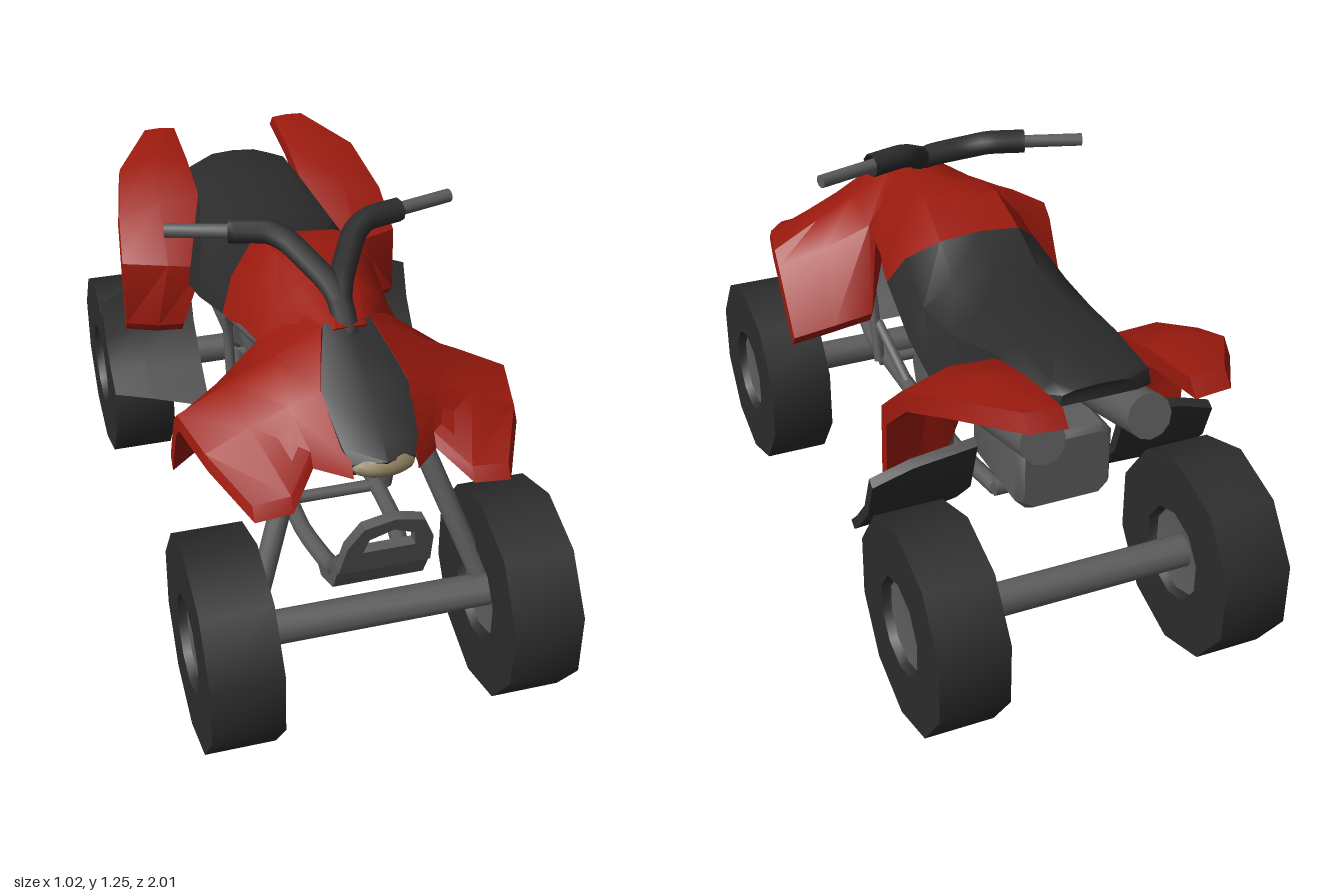
import * as THREE from 'three';
import { toCreasedNormals } from 'three/addons/utils/BufferGeometryUtils.js';

const paint = (color) => new THREE.MeshStandardMaterial({ color, side: THREE.DoubleSide });
const V = (p) => new THREE.Vector3(...p);
const flipX = (p) => [-p[0], p[1], p[2]];

export function createModel() {
  const model = new THREE.Group();
  const red = paint(0x9c1a0e), black = paint(0x2c2c2c), grey = paint(0x5c5c5c), glass = paint(0x8f8260);

  const add = (name, geometry, material, crease = 0.75) => {
    const mesh = new THREE.Mesh(toCreasedNormals(geometry, crease), material);
    mesh.name = name;
    model.add(mesh);
    return mesh;
  };

  // Solid skinned over matching closed rings, with capped ends, faces turned outward
  const loft = (rings) => {
    const n = rings[0].length, tris = [];
    const quad = (a, b, c, d) => tris.push([a, b, c], [a, c, d]);
    for (let r = 0; r + 1 < rings.length; r++)
      for (let i = 0; i < n; i++) {
        const j = (i + 1) % n;
        quad(rings[r][i], rings[r][j], rings[r + 1][j], rings[r + 1][i]);
      }
    for (const [ring, first] of [[rings[0], true], [rings[rings.length - 1], false]])
      for (let i = 0; i < n - 2 - i + 1 && i < n - 1 - i; i++) {
        const caps = [[ring[i], ring[i + 1], ring[n - 1 - i]]];
        if (i + 1 < n - 2 - i) caps.push([ring[i + 1], ring[n - 2 - i], ring[n - 1 - i]]);
        if (i + 1 >= n - 1 - i) continue;
        caps.forEach((t) => tris.push(first ? t.reverse() : t));
      }
    const volume = tris.reduce((s, [a, b, c]) => s + V(a).dot(V(b).cross(V(c))), 0);
    if (volume < 0) tris.forEach((t) => t.reverse());
    const g = new THREE.BufferGeometry();
    g.setAttribute('position', new THREE.Float32BufferAttribute(tris.flat(2), 3));
    return g;
  };

  // Sheet of point rows thickened by an offset
  const slab = (rows, off) => loft(rows.map((row) =>
    [...row, ...row.map((p) => p.map((v, k) => v + off[k])).reverse()]));
  // Symmetric row from its half, listed from the centre outward
  const both = (half) => [...half.slice(1).reverse().map(flipX), ...half];

  const rod = (name, a, b, r, material = grey, sides = 10) => {
    const d = V(b).sub(V(a));
    const g = new THREE.CylinderGeometry(r, r, d.length(), sides);
    g.applyQuaternion(new THREE.Quaternion().setFromUnitVectors(V([0, 1, 0]), d.clone().normalize()));
    const m = V(a).add(V(b)).multiplyScalar(0.5);
    add(name, g.translate(m.x, m.y, m.z), material, 0.9);
  };
  const tube = (name, pts, r, material = grey, tension = 0.15) => {
    const path = new THREE.CatmullRomCurve3(pts.map(V), false, 'catmullrom', tension);
    add(name, new THREE.TubeGeometry(path, pts.length * 5, r, 8), material, 0.9);
  };
  const extrude = (shape, depth) =>
    new THREE.ExtrudeGeometry(shape, { depth, bevelEnabled: false }).translate(0, 0, -depth / 2);
  const outline = (pts) => pts.map(([x, y]) => new THREE.Vector2(x, y));

  // Wheels: ten-sided tyre with a dished hub on either face
  const lathe = (pts) => new THREE.LatheGeometry(outline(pts), 10, Math.PI / 2).rotateZ(Math.PI / 2);
  for (const [end, z] of [['front', 0.72], ['rear', -0.72]]) {
    for (const s of [1, -1]) {
      const x = 0.408 * s, side = s > 0 ? 'Left' : 'Right';
      add(`${end}${side}Tyre`, lathe([[0.125, -0.07], [0.137, -0.098], [0.298, -0.098],
        [0.298, 0.098], [0.137, 0.098], [0.125, 0.07]]).translate(x, 0.3, z), black, 0.8);
      add(`${end}${side}Hub`, lathe([[0, -0.055], [0.13, -0.075], [0.13, 0.075], [0, 0.055]])
        .translate(x, 0.3, z), grey, 0.8);
    }
    rod(`${end}Axle`, [-0.36, 0.3, z], [0.36, 0.3, z], 0.048);
  }

  // Tank and seat share the slanted seam between them
  const seam = [[0, 1.07, -0.07], [0.12, 1.06, -0.07], [0.2, 0.99, 0], [0.24, 0.9, 0.05]];
  add('tank', loft([
    [[0, 1.08, 0.5], [0.04, 1.08, 0.5], [0.07, 1.05, 0.48], [0.09, 0.98, 0.48]],
    [[0, 1.1, 0.32], [0.08, 1.09, 0.31], [0.15, 1.03, 0.3], [0.2, 0.95, 0.3]],
    [[0, 1.13, 0.17], [0.1, 1.12, 0.16], [0.17, 1.04, 0.16], [0.215, 0.93, 0.17]],
    [[0, 1.13, 0.06], [0.11, 1.12, 0.06], [0.19, 1.03, 0.09], [0.23, 0.91, 0.11]],
    seam].map(both)), red);
  add('seat', loft([seam,
    [[0, 0.995, -0.19], [0.13, 0.985, -0.19], [0.22, 0.93, -0.19], [0.26, 0.83, -0.18]],
    [[0, 0.97, -0.36], [0.13, 0.97, -0.36], [0.21, 0.93, -0.36], [0.255, 0.77, -0.37]],
    [[0, 1.0, -0.58], [0.12, 1.0, -0.58], [0.17, 0.975, -0.58], [0.2, 0.85, -0.58]],
    [[0, 0.995, -0.78], [0.11, 0.99, -0.78], [0.16, 0.97, -0.78], [0.17, 0.92, -0.78]],
    [[0, 0.99, -0.83], [0.07, 0.985, -0.83], [0.1, 0.97, -0.82], [0.11, 0.94, -0.82]]].map(both)), black);

  // Nose panel and headlamp
  add('nosePanel', slab([
    [[0, 1.085, 0.48], [0.065, 1.08, 0.47]], [[0, 1.01, 0.65], [0.118, 0.98, 0.63]],
    [[0, 0.92, 0.78], [0.1, 0.9, 0.77]], [[0, 0.88, 0.83], [0.085, 0.865, 0.8]]].map(both), [0, -0.045, -0.02]), black);
  add('headlamp', new THREE.SphereGeometry(1, 14, 8).scale(0.085, 0.033, 0.04).translate(0, 0.853, 0.795), glass);

  // Fenders and heel guards
  const frontFender = [
    [[0.085, 0.875, 0.8], [0.165, 0.86, 0.71], [0.24, 0.8, 0.8], [0.34, 0.79, 0.8]],
    [[0.117, 0.985, 0.63], [0.2, 0.945, 0.62], [0.3, 0.9, 0.62], [0.42, 0.845, 0.63]],
    [[0.07, 1.075, 0.47], [0.19, 1.0, 0.46], [0.32, 0.935, 0.46], [0.458, 0.86, 0.46]],
    [[0.09, 1.06, 0.37], [0.2, 0.96, 0.31], [0.33, 0.88, 0.37], [0.46, 0.82, 0.42]],
    [[0.19, 0.94, 0.28], [0.23, 0.71, 0.22], [0.34, 0.67, 0.26], [0.455, 0.625, 0.31]]];
  const rearFender = [
    [[0.17, 1.035, -0.96], [0.22, 1.04, -0.96], [0.27, 1.04, -0.955]],
    [[0.17, 1.01, -0.76], [0.28, 1.035, -0.76], [0.39, 1.0, -0.76]],
    [[0.17, 0.965, -0.58], [0.3, 0.965, -0.57], [0.43, 0.92, -0.57]],
    [[0.2, 0.8, -0.41], [0.31, 0.82, -0.41], [0.445, 0.82, -0.46]],
    [[0.27, 0.61, -0.4], [0.35, 0.61, -0.41], [0.445, 0.61, -0.45]]];
  const heelGuard = [
    [[0.22, 0.72, -0.55], [0.4, 0.69, -0.54], [0.51, 0.65, -0.53]],
    [[0.22, 0.56, -0.5], [0.4, 0.56, -0.5], [0.512, 0.54, -0.49]],
    [[0.22, 0.46, -0.4], [0.4, 0.47, -0.42], [0.512, 0.46, -0.42]],
    [[0.22, 0.36, -0.28], [0.4, 0.39, -0.33], [0.51, 0.405, -0.36]]];

  for (const s of [1, -1]) {
    const side = s > 0 ? 'left' : 'right';
    const at = (p) => [p[0] * s, p[1], p[2]];
    const turn = (rows) => rows.map((row) => row.map(at));
    add(`${side}FrontFender`, slab(turn(frontFender), [0, -0.035, 0.025]), red);
    add(`${side}RearFender`, slab(turn(rearFender), [0, -0.04, -0.035]), red);
    add(`${side}HeelGuard`, slab(turn(heelGuard), [0, -0.015, -0.025]), black);

    // Frame tubes
    tube(`${side}LowerRail`, [[0.1, 0.45, -0.43], [0.13, 0.45, -0.2], [0.13, 0.45, 0.5],
      [0.1, 0.46, 0.7], [0.1, 0.58, 0.82]].map(at), 0.025);
    tube(`${side}UpperRail`, [[0.16, 0.45, -0.21], [0.16, 0.64, -0.25], [0.16, 0.73, -0.22],
      [0.16, 0.84, 0.1], [0.16, 0.95, 0.38]].map(at), 0.016);
    rod(`${side}FrontPost`, at([0.16, 0.93, 0.5]), at([0.16, 0.45, 0.37]), 0.017);
    rod(`${side}Brace`, at([0.15, 0.57, 0.4]), at([0.13, 0.45, 0.17]), 0.016);
    rod(`${side}Strut`, at([0.13, 0.87, 0.54]), at([0.32, 0.36, 0.71]), 0.03);

    // Exhaust and handlebar
    rod(`${side}Exhaust`, at([0.15, 0.75, -0.42]), at([0.15, 0.85, -0.82]), 0.063, grey, 12);
    tube(`${side}Handlebar`, [[0, 1.04, 0.5], [0, 1.1, 0.41], [0.02, 1.14, 0.35],
      [0.09, 1.2, 0.23], [0.14, 1.22, 0.19], [0.24, 1.22, 0.16]].map(at), 0.034, black, 0.3);
    rod(`${side}Grip`, at([0.2, 1.22, 0.17]), at([0.405, 1.218, 0.11]), 0.019);
  }
  rod('rearCrossbar', [-0.11, 0.45, -0.43], [0.11, 0.45, -0.43], 0.025);
  rod('frontCrossbar', [-0.16, 0.45, 0.37], [0.16, 0.45, 0.37], 0.018);

  // Front bumper: tilted hoop above a swept-back skid plate
  const hoop = new THREE.Shape(outline([[-0.125, 0.55], [0.125, 0.55], [0.115, 0.66], [0.08, 0.74],
    [0, 0.765], [-0.08, 0.74], [-0.115, 0.66]]));
  hoop.holes.push(new THREE.Path(outline([[-0.07, 0.635], [-0.06, 0.69], [0, 0.72], [0.06, 0.69], [0.07, 0.635]])));
  const hoopGeometry = extrude(hoop, 0.035);
  const p = hoopGeometry.attributes.position;
  for (let i = 0; i < p.count; i++) p.setZ(i, p.getZ(i) + 0.82 + (p.getY(i) - 0.55) * 0.36);
  add('bumperHoop', hoopGeometry, grey);
  add('skidPlate', slab([[[0, 0.56, 0.835], [0.125, 0.56, 0.835]], [[0, 0.47, 0.79], [0.125, 0.47, 0.79]],
    [[0, 0.42, 0.68], [0.125, 0.42, 0.68]]].map(both), [0, 0.015, -0.03]), grey);

  // Engine, crankcase and gearbox
  add('engine', extrude(new THREE.Shape(outline([[0.155, 0.83], [0.155, 0.65], [-0.12, 0.64], [-0.3, 0.675],
    [-0.24, 0.71], [-0.24, 0.8], [-0.05, 0.85], [0.08, 0.85]])), 0.26).rotateY(-Math.PI / 2), grey);
  rod('crankcase', [-0.13, 0.56, 0.06], [0.13, 0.56, 0.06], 0.085, grey, 8);
  add('gearbox', loft([-0.335, -0.36, -0.64, -0.665].map((z, i) => {
    const k = i % 3 ? 1 : 0.88;
    return [[-0.14, 0.08], [-0.11, 0.11], [0.11, 0.11], [0.14, 0.08], [0.14, -0.08], [0.11, -0.11], [-0.11, -0.11],
      [-0.14, -0.08]].map(([x, y]) => [x * k, 0.63 + y * k, z]);
  })), grey);
  return model;
}
